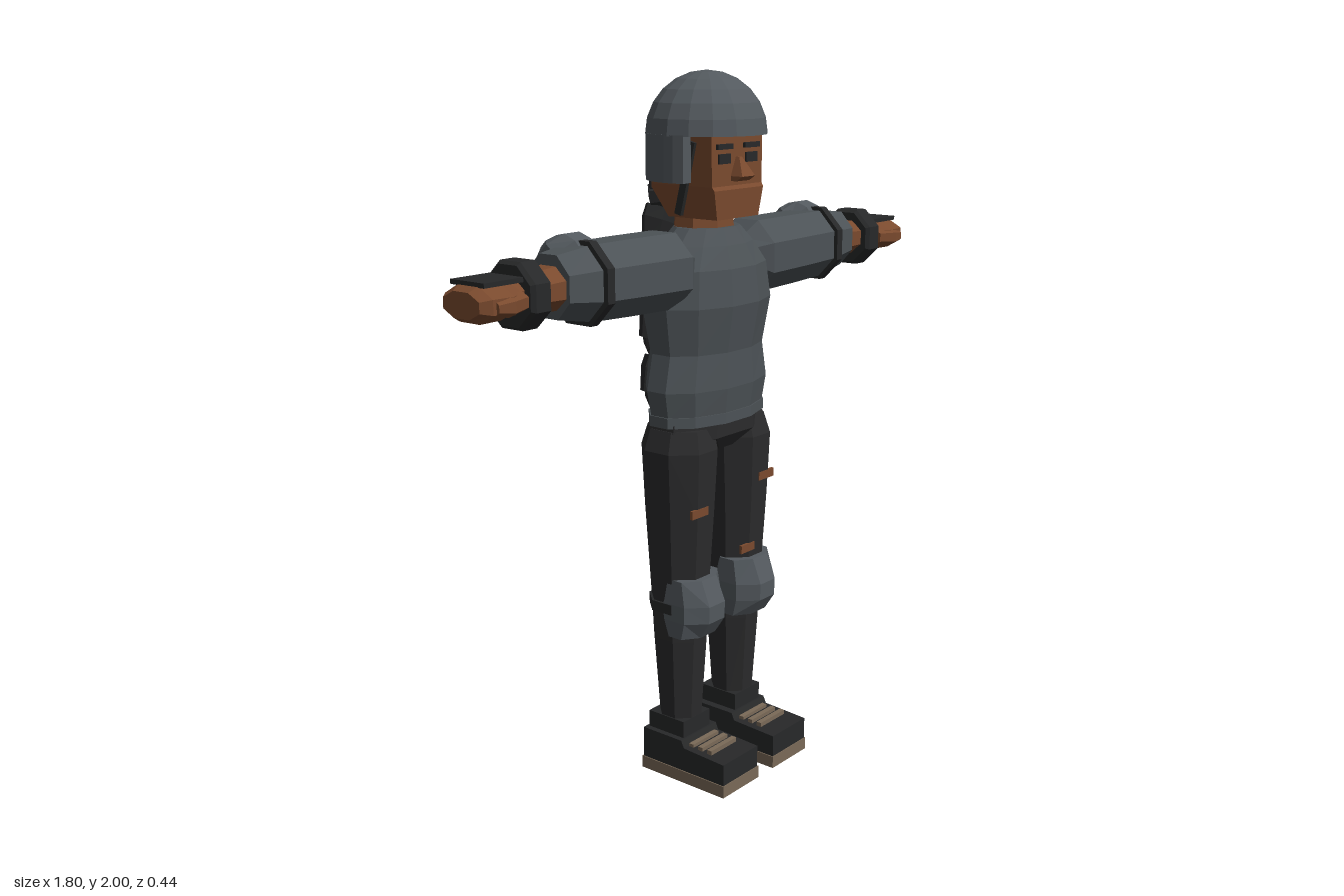
import * as THREE from 'three';

const paint = (name, color) => {
  const m = new THREE.MeshStandardMaterial({ color, flatShading: true });
  m.name = name;
  return m;
};

// Faceted tube through rings [y, halfX, halfZ, centreX, centreZ], listed from top to bottom
function loft(rings, sides = 8) {
  const k = rings.length - 1;
  const g = new THREE.CylinderGeometry(1, 1, 1, sides, k, false, Math.PI / sides);
  const p = g.attributes.position, f = Math.cos(Math.PI / sides);
  for (let i = 0; i < p.count; i++) {
    const [y, rx, rz, cx = 0, cz = 0] = rings[Math.round((0.5 - p.getY(i)) * k)];
    p.setXYZ(i, cx + p.getX(i) * rx / f, y, cz + p.getZ(i) * rz / f);
  }
  return g;
}

// Same along +x: rings [x, halfY, halfZ, centreY, centreZ], listed from outside to inside
const loftX = (rings, sides) =>
  loft(rings.map(([x, ry, rz, cy, cz = 0]) => [x, ry, rz, -cy, cz]), sides).rotateZ(-Math.PI / 2);

const box = (w, h, d, x, y, z) => new THREE.BoxGeometry(w, h, d).translate(x, y, z);

// Mirror across x = 0, keeping the faces outward
function mirrored(geo) {
  const g = geo.index ? geo.toNonIndexed() : geo.clone();
  const p = g.attributes.position, a = new THREE.Vector3(), b = new THREE.Vector3();
  for (let i = 0; i < p.count; i += 3) {
    a.fromBufferAttribute(p, i + 1);
    b.fromBufferAttribute(p, i + 2);
    p.setXYZ(i + 1, b.x, b.y, b.z);
    p.setXYZ(i + 2, a.x, a.y, a.z);
  }
  g.scale(-1, 1, 1);
  g.computeVertexNormals();
  return g;
}

export function createModel() {
  const model = new THREE.Group();
  model.name = 'skater';
  const skin = paint('skin', 0x7a4a2e);
  const shirt = paint('shirtGrey', 0x4c5256);
  const armour = paint('armourGrey', 0x53595e);
  const pants = paint('pantsBlack', 0x2b2b2c);
  const black = paint('softBlack', 0x272829);
  const tan = paint('soleTan', 0x7a6a58);

  const add = (name, geo, mat) => {
    const m = new THREE.Mesh(geo, mat);
    m.name = name;
    model.add(m);
  };
  const pair = (name, geo, mat) => {
    add(name + 'Left', geo, mat);
    add(name + 'Right', mirrored(geo), mat);
  };

  // Torso
  add('shirt', loft([
    [1.585, 0.1, 0.08], [1.54, 0.15, 0.105], [1.48, 0.2, 0.13], [1.38, 0.217, 0.14],
    [1.25, 0.195, 0.118], [1.15, 0.217, 0.122], [1.075, 0.203, 0.112],
  ], 12), shirt);
  add('shirtHem', loft([[1.08, 0.208, 0.116], [1.05, 0.208, 0.116]], 12), shirt);
  add('pelvis', loft([[1.06, 0.196, 0.105], [1.01, 0.2, 0.104], [0.965, 0.07, 0.07]]), pants);

  // Head
  add('neck', loft([[1.65, 0.08, 0.072, 0, -0.01], [1.55, 0.09, 0.08, 0, -0.01]]), skin);
  add('head', loft([
    [1.86, 0.11, 0.105], [1.7, 0.108, 0.106], [1.69, 0.106, 0.11, 0, 0.003], [1.612, 0.09, 0.085, 0, 0.024],
  ], 4), skin);
  add('nose', loft([[1.775, 0.006, 0.012, 0, 0.105], [1.725, 0.028, 0.04, 0, 0.105], [1.712, 0.028, 0.02, 0, 0.105]], 4), skin);
  add('mouth', box(0.05, 0.006, 0.006, 0, 1.668, 0.106), black);
  pair('eye', box(0.05, 0.026, 0.008, 0.058, 1.772, 0.107), black);
  pair('brow', box(0.064, 0.014, 0.009, 0.058, 1.804, 0.109), black);

  // Helmet: dome, guard around the ears and back, vents and chin straps
  const dome = [new THREE.Vector2(0, 1.832), new THREE.Vector2(0.167, 1.832)];
  for (let i = 1; i <= 6; i++) {
    const a = i * Math.PI / 12;
    dome.push(new THREE.Vector2(i === 6 ? 0 : 0.167 * Math.cos(a), 1.832 + 0.168 * Math.sin(a)));
  }
  add('helmet', new THREE.LatheGeometry(dome, 16), armour);
  const guard = new THREE.Shape();
  guard.absarc(0, 0, 0.166, -0.3, Math.PI + 0.3, false);
  guard.absarc(0, 0, 0.128, Math.PI + 0.35, -0.35, true);
  add('helmetGuard', new THREE.ExtrudeGeometry(guard, { depth: 0.125, bevelEnabled: false, curveSegments: 10 })
    .rotateX(-Math.PI / 2).translate(0, 1.71, 0), armour);
  for (const z of [1, -1]) {
    pair(z > 0 ? 'frontVent' : 'backVent', box(0.026, 0.026, 0.02, 0, 0, 0.142)
      .rotateX(-0.5).rotateY(0.42).scale(1, 1, z).rotateY(z < 0 ? Math.PI : 0)
      .translate(0, 1.85, 0).rotateY(z < 0 ? Math.PI : 0), black);
  }
  pair('chinStrap', box(0.012, 0.2, 0.022, 0.113, 1.72, 0).translate(0, -1.72, 0)
    .rotateX(0.25).translate(0, 1.72, 0.02), black);

  // Braid: overlapping locks, leaning to alternate sides
  const spine = new THREE.CatmullRomCurve3([
    new THREE.Vector3(0, 1.72, -0.135), new THREE.Vector3(0, 1.5, -0.175),
    new THREE.Vector3(0, 1.3, -0.183), new THREE.Vector3(0, 1.06, -0.182),
  ]);
  const locks = 10;
  for (let i = 0; i < locks; i++) {
    const c = spine.getPoint(i / (locks - 1)), side = i % 2 ? 1 : -1, r = 0.066 - 0.0028 * i;
    add('braidLock', loft([[0.05, r, 0.036], [0.015, r * 1.02, 0.038], [-0.055, r * 0.62, 0.026]], 6)
      .rotateZ(side * 0.3).rotateX(0.1).translate(c.x + side * 0.012, c.y, c.z), black);
  }
  add('braidTip', loft([[1.05, 0.02, 0.014, 0, -0.18], [0.985, 0.014, 0.01, 0, -0.18]], 6), black);

  // Arms, outstretched
  pair('sleeve', loftX([
    [0.615, 0.08, 0.072, 1.49], [0.5, 0.097, 0.092, 1.487], [0.36, 0.1, 0.098, 1.485],
    [0.18, 0.102, 0.1, 1.482], [0.12, 0.05, 0.06, 1.49],
  ]), shirt);
  pair('elbowStrap', loftX([[0.513, 0.107, 0.104, 1.487], [0.487, 0.107, 0.104, 1.487]]), black);
  pair('elbowPad', loft([[0.128, 0.045, 0.03], [0.108, 0.066, 0.06], [0.07, 0.07, 0.078], [0.03, 0.055, 0.07]])
    .rotateX(-Math.PI / 4).translate(0.495, 1.49, 0), armour);
  pair('forearm', loftX([[0.78, 0.042, 0.055, 1.485], [0.6, 0.056, 0.062, 1.488]]), skin);
  pair('wristGuard', loftX([
    [0.75, 0.075, 0.075, 1.485], [0.74, 0.083, 0.085, 1.485], [0.692, 0.083, 0.085, 1.485], [0.682, 0.075, 0.075, 1.485],
  ]), black);
  pair('hand', loftX([
    [0.9, 0.032, 0.062, 1.482], [0.875, 0.045, 0.082, 1.482], [0.81, 0.044, 0.085, 1.482], [0.75, 0.035, 0.055, 1.485],
  ]), skin);
  pair('thumb', loftX([
    [0.865, 0.016, 0.014, 1.478, 0.077], [0.82, 0.024, 0.026, 1.478, 0.074], [0.76, 0.022, 0.025, 1.48, 0.055],
  ], 6), skin);
  pair('handPlate', box(0.125, 0.012, 0.115, 0.815, 1.53, -0.002), black);

  // Legs, with knee pads
  pair('leg', loft([
    [1.04, 0.085, 0.09, 0.115], [0.98, 0.098, 0.105, 0.121], [0.8, 0.087, 0.097, 0.122],
    [0.53, 0.073, 0.08, 0.122], [0.42, 0.07, 0.075, 0.121], [0.13, 0.053, 0.056, 0.12],
  ]), pants);
  pair('kneeStrap', loft([[0.537, 0.08, 0.086, 0.122], [0.507, 0.08, 0.086, 0.122]]), black);
  pair('kneePad', loft([
    [0.612, 0.08, 0.06, 0.118, 0.045], [0.54, 0.083, 0.09, 0.118, 0.045],
    [0.49, 0.083, 0.088, 0.118, 0.045], [0.44, 0.08, 0.055, 0.118, 0.045],
  ]), armour);

  // Rips in the trousers
  for (const [x, y, z, w] of [[0.15, 0.855, 0.098, 0.07], [-0.15, 0.81, 0.096, 0.07], [0.08, 0.645, 0.086, 0.06]])
    add('trouserRip', box(w, 0.024, 0.009, x, y, z), skin);

  // Shoes
  pair('sole', box(0.164, 0.036, 0.305, 0.117, 0.018, 0.07), tan);
  const upper = new THREE.Shape([
    [-0.078, 0.036], [0.22, 0.036], [0.22, 0.1], [0.075, 0.107], [0.065, 0.128], [-0.078, 0.128],
  ].map(([z, y]) => new THREE.Vector2(z, y)));
  pair('shoe', new THREE.ExtrudeGeometry(upper, { depth: 0.158, bevelEnabled: false })
    .rotateY(-Math.PI / 2).translate(0.196, 0, 0), black);
  pair('ankleCuff', box(0.118, 0.06, 0.13, 0.12, 0.148, -0.005), black);
  for (let i = 0; i < 3; i++)
    pair('lace', box(0.115, 0.014, 0.016, 0.117, 0.109, 0.085 + i * 0.033), tan);

  return model;
}
